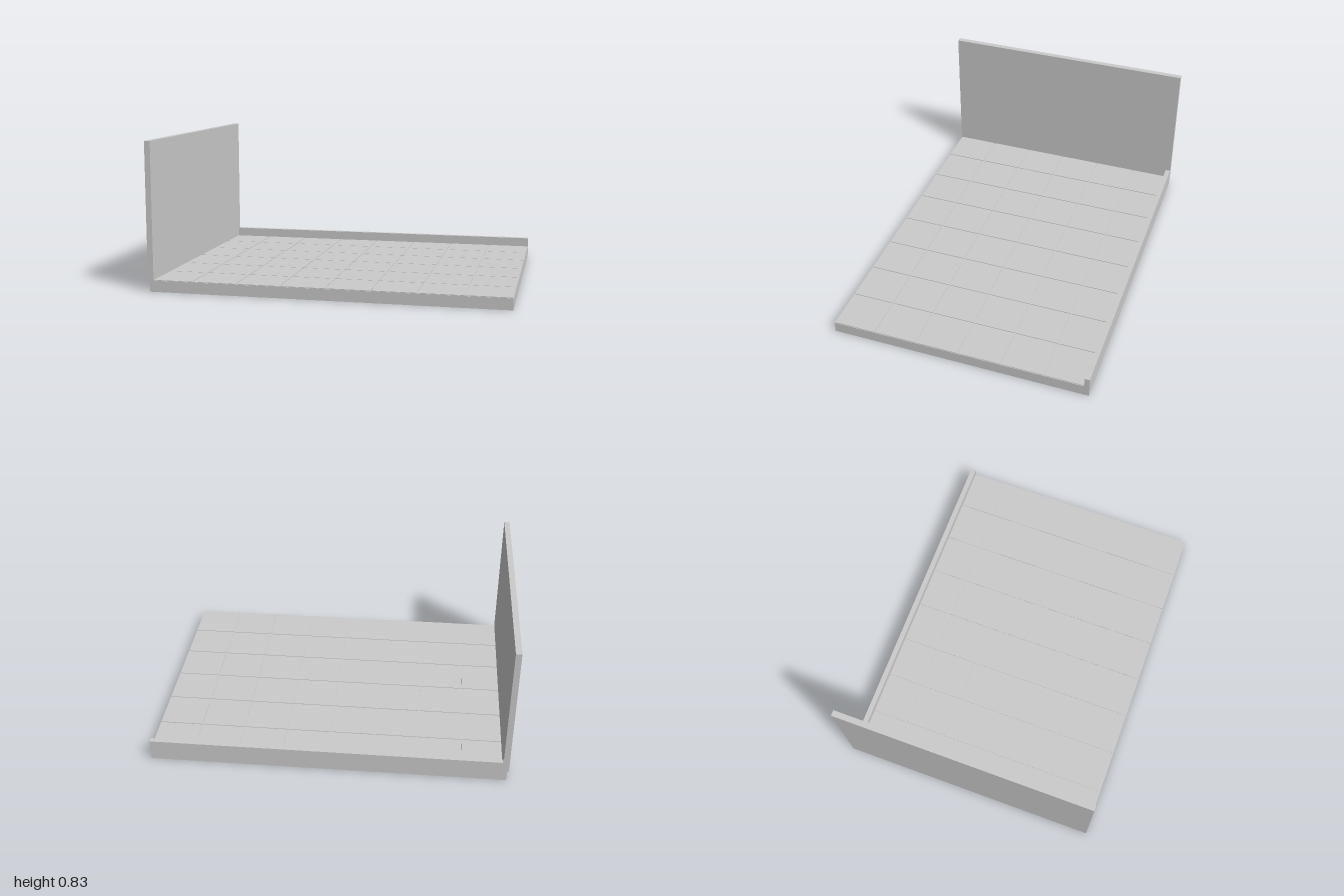
import * as THREE from 'three';

const material = new THREE.MeshStandardMaterial({ color: 0xcccccc, flatShading: true });

// Box given by its lower and upper corners
function box(name, [x0, y0, z0], [x1, y1, z1]) {
  const mesh = new THREE.Mesh(new THREE.BoxGeometry(x1 - x0, y1 - y0, z1 - z0), material);
  mesh.name = name;
  mesh.position.set((x0 + x1) / 2, (y0 + y1) / 2, (z0 + z1) / 2);
  return mesh;
}

export function createModel() {
  const model = new THREE.Group();
  model.name = 'tiledFloorWithWall';

  const left = -0.99, right = 1, half = 0.745;
  const slabTop = 0.063, tileTop = 0.067;

  // Base slab
  model.add(box('floorSlab', [left, 0, -half], [right, slabTop, half]));

  // Square tiles, 8 by 6, separated by fine joints
  const tiles = new THREE.Group();
  tiles.name = 'floorTiles';
  const columns = 8, rows = 6, joint = 0.003;
  const w = (right - left) / columns, d = (2 * half) / rows;
  for (let i = 0; i < columns; i++) {
    for (let j = 0; j < rows; j++) {
      const x = left + i * w, z = -half + j * d;
      tiles.add(box('tile', [x + joint, slabTop, z + joint], [x + w - joint, tileTop, z + d - joint]));
    }
  }
  model.add(tiles);

  // Tall side wall
  model.add(box('sideWall', [-1, slabTop, -half], [-0.967, 0.835, half]));

  // Low curb along the back edge
  model.add(box('backCurb', [-0.967, slabTop, -half], [right, 0.12, -0.716]));

  return model;
}
